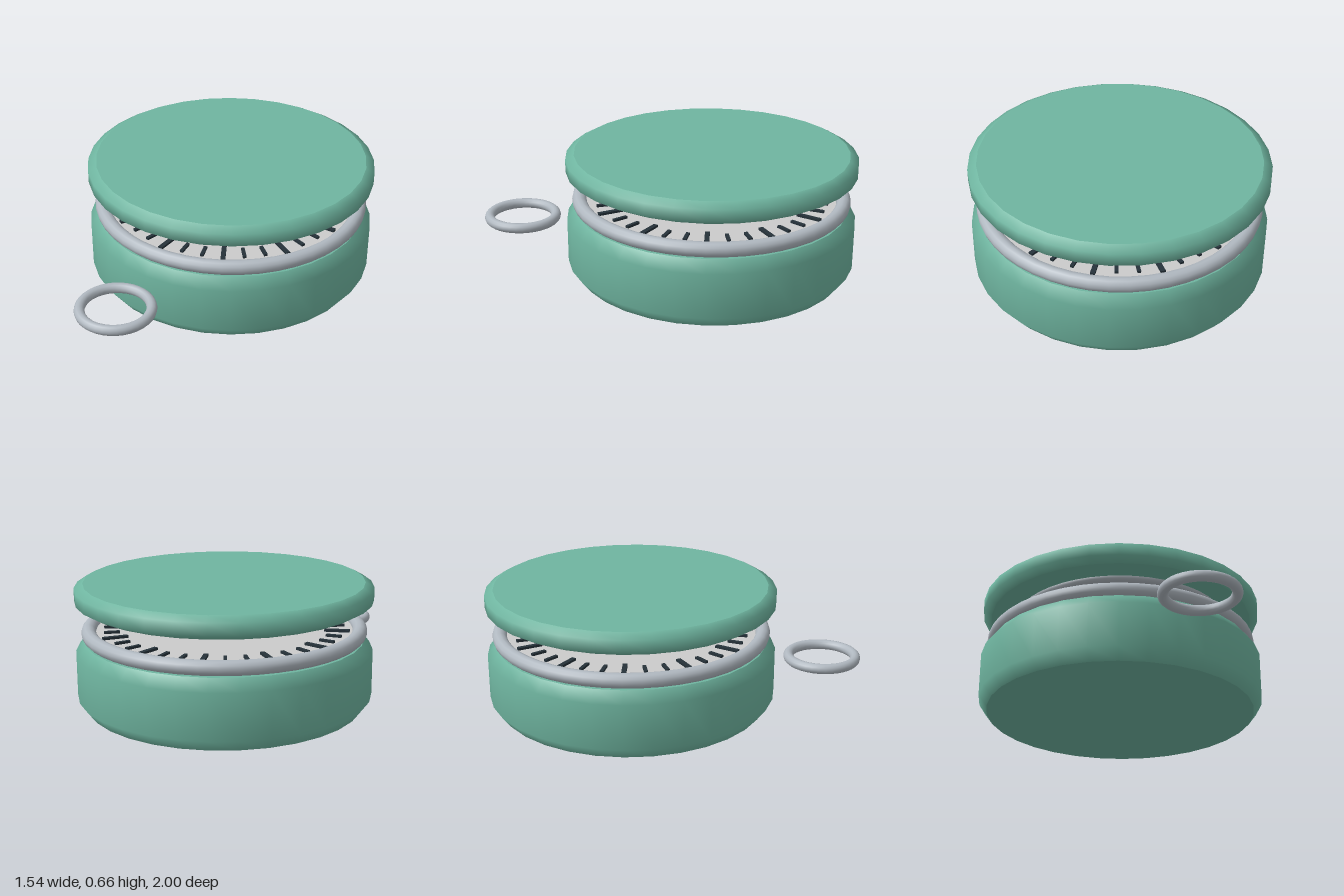
import * as THREE from 'three';

const mat = (color) => new THREE.MeshStandardMaterial({ color });
const green = mat(0x6fb5a0);
const steel = mat(0xb0b8c0);
const paper = mat(0xdcdcd8);
const ink = mat(0x26323a);
const red = mat(0xd9626a);
const blue = mat(0x5a9fd6);

function add(parent, name, geometry, material, x = 0, y = 0, z = 0) {
  const mesh = new THREE.Mesh(geometry, material);
  mesh.name = name;
  mesh.position.set(x, y, z);
  parent.add(mesh);
  return mesh;
}

// Round slab with bevelled rims; doubled points keep the flat caps crisp
function slab(radius, height, inset, rise) {
  const r = radius - inset;
  const points = [
    [0, 0], [r, 0], [r, 0], [radius, rise],
    [radius, height - rise], [r, height], [r, height], [0, height],
  ].map(([x, y]) => new THREE.Vector2(x, y));
  return new THREE.LatheGeometry(points, 32);
}

// Ring lying flat
function flatRing(radius, tube, segments) {
  return new THREE.TorusGeometry(radius, tube, 12, segments).rotateX(Math.PI / 2);
}

// Half of the needle: flat underside, ridge falling from the hub to the tip
function needleHalf(length, halfWidth, height) {
  const l = [-halfWidth, 0, 0], r = [halfWidth, 0, 0], top = [0, height, 0], tip = [0, 0, length];
  const faces = [l, tip, top, r, top, tip, l, r, tip, l, top, r];
  const geometry = new THREE.BufferGeometry();
  geometry.setAttribute('position', new THREE.Float32BufferAttribute(faces.flat(), 3));
  geometry.computeVertexNormals();
  return geometry;
}

export function createModel() {
  const model = new THREE.Group();
  model.name = 'pocketCompass';

  // Case, rim and lid share one vertical axis
  const compass = new THREE.Group();
  compass.name = 'compass';
  compass.position.z = -0.23;
  model.add(compass);

  add(compass, 'caseBase', slab(0.77, 0.358, 0.045, 0.06), green);
  add(compass, 'caseRim', flatRing(0.702, 0.038, 48), steel, 0, 0.398);
  add(compass, 'lid', slab(0.77, 0.115, 0.045, 0.025), green, 0, 0.54);
  add(compass, 'lidInnerRing', flatRing(0.57, 0.025, 48), steel, 0, 0.54);

  // Dial with a mark every 10 degrees, longer every 30
  add(compass, 'dial', new THREE.CylinderGeometry(0.68, 0.68, 0.05, 48), paper, 0, 0.375);
  const marks = new THREE.Group();
  marks.name = 'dialMarks';
  compass.add(marks);
  for (let i = 0; i < 36; i++) {
    const major = i % 3 === 0;
    const size = major ? [0.024, 0.014, 0.13] : [0.018, 0.014, 0.08];
    const angle = i * Math.PI / 18;
    const mark = add(marks, major ? 'majorMark' : 'minorMark', new THREE.BoxGeometry(...size), ink,
      Math.sin(angle) * 0.585, 0.405, Math.cos(angle) * 0.585);
    mark.rotation.y = angle;
  }

  // Two-coloured needle and its hub
  const needle = new THREE.Group();
  needle.name = 'needle';
  needle.position.y = 0.47;
  compass.add(needle);
  add(needle, 'redPointer', needleHalf(0.465, 0.078, 0.035), red);
  add(needle, 'bluePointer', needleHalf(0.465, 0.078, 0.035), blue).rotation.y = Math.PI;
  add(needle, 'hub', new THREE.SphereGeometry(0.036, 20, 14), steel, 0, 0.016);

  // Carrying ring in front of the case
  add(model, 'carryingRing', flatRing(0.179, 0.027, 36), steel, 0, 0.25, 0.793);

  return model;
}
